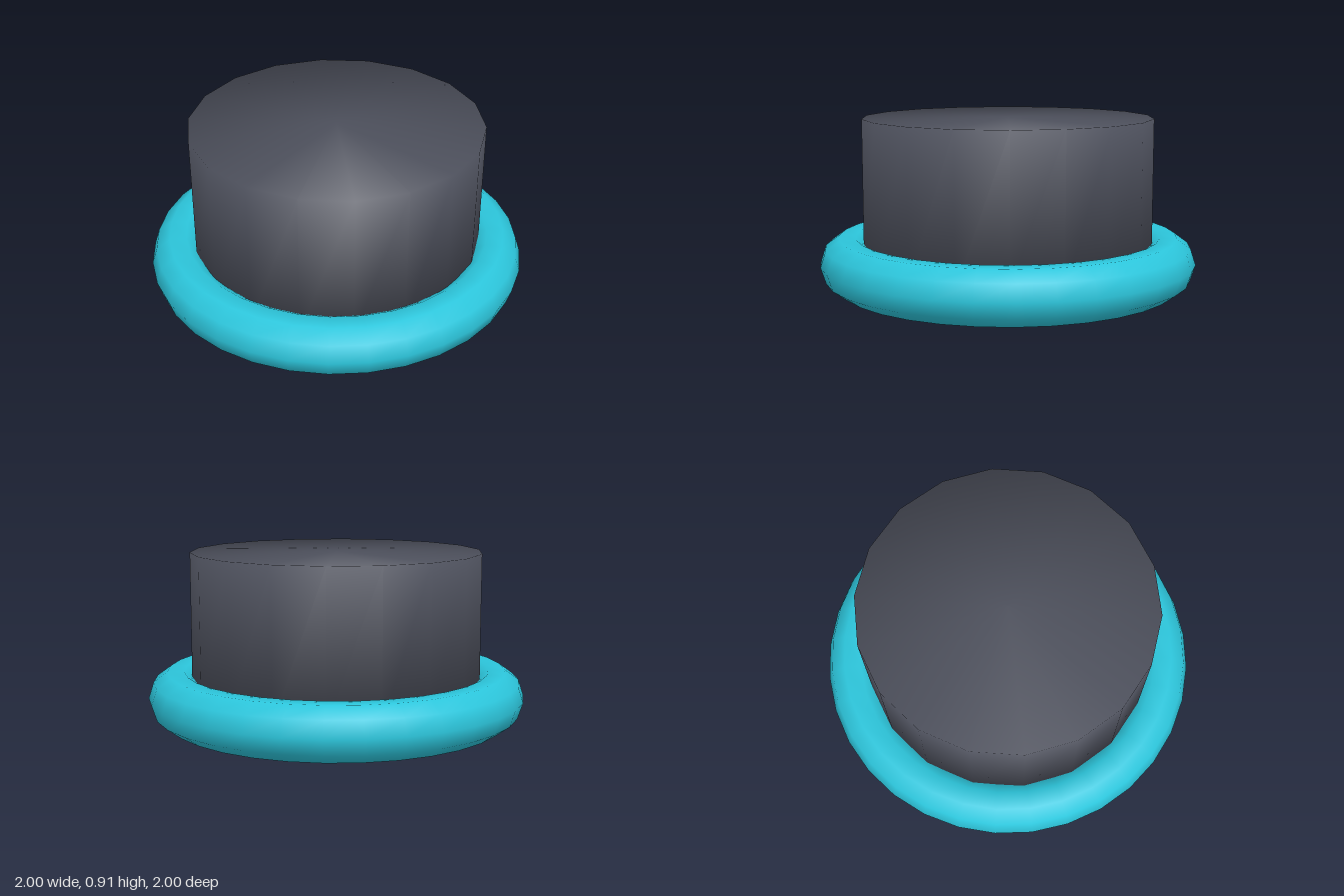
import * as THREE from 'three';

const crownGrey = new THREE.MeshStandardMaterial({ color: 0x4c4f5b });
crownGrey.name = 'charcoalGrey';
const brimCyan = new THREE.MeshStandardMaterial({ color: 0x2cc6dc });
brimCyan.name = 'cyan';
const liningBlue = new THREE.MeshStandardMaterial({ color: 0x78b0d0 });
liningBlue.name = 'paleBlue';

const SIDES = 18;
const BRIM_RADIUS = 0.855;
const BRIM_TUBE = 0.145;
const BRIM_Y = BRIM_TUBE * Math.sin(Math.PI * 0.4); // half height of the ten-sided tube

// Capped cylinder whose normals blend smoothly from the wall over the rims
function softDrum(radius, bottom, top) {
  const height = top - bottom;
  const geometry = new THREE.CylinderGeometry(radius, radius, height, SIDES);
  const { position, normal } = geometry.attributes;
  const n = new THREE.Vector3();
  for (let i = 0; i < position.count; i++) {
    n.set(position.getX(i) / radius, 0.9 * Math.sign(position.getY(i)), position.getZ(i) / radius);
    n.normalize();
    normal.setXYZ(i, n.x, n.y, n.z);
  }
  return geometry.translate(0, bottom + height / 2, 0);
}

function addPart(group, name, geometry, material) {
  const mesh = new THREE.Mesh(geometry, material);
  mesh.name = name;
  group.add(mesh);
}

export function createModel() {
  const hat = new THREE.Group();
  hat.name = 'hat';

  // Rolled brim
  const brim = new THREE.TorusGeometry(BRIM_RADIUS, BRIM_TUBE, 10, 32);
  brim.rotateX(Math.PI / 2).translate(0, BRIM_Y, 0);
  addPart(hat, 'brim', brim, brimCyan);

  // Flat-topped crown, rising from the middle of the brim
  addPart(hat, 'crown', softDrum(0.77, BRIM_Y, 0.905), crownGrey);

  // Round lining under the crown
  addPart(hat, 'lining', softDrum(0.5, BRIM_Y - 0.009, BRIM_Y + 0.1), liningBlue);

  return hat;
}
